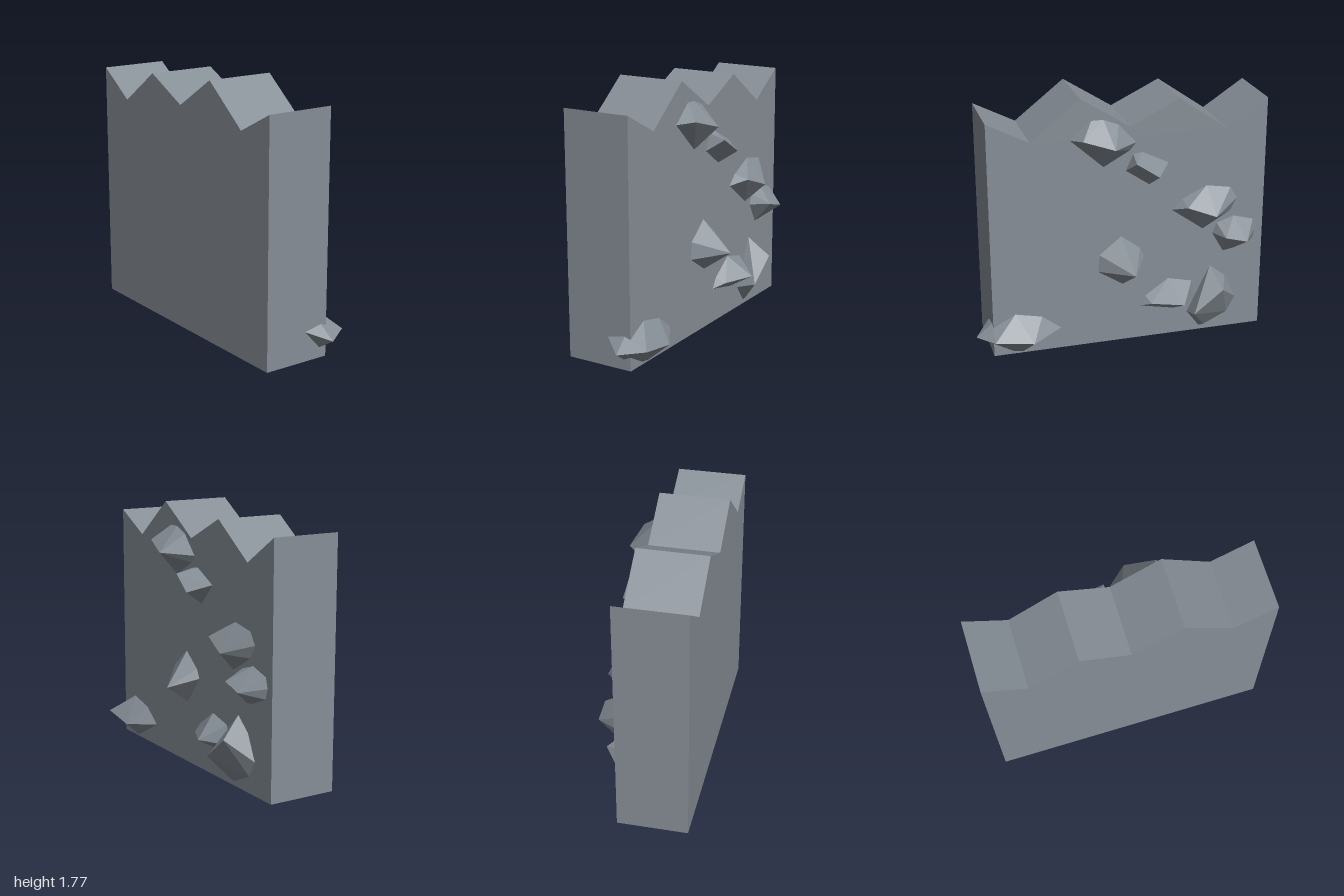
import * as THREE from 'three';
import { ConvexGeometry } from 'three/addons/geometries/ConvexGeometry.js';

const BACK = -0.142; // plane of the wall's rear face
const FRONT = 0.326;

const stone = new THREE.MeshStandardMaterial({ color: 0x868e96, flatShading: true });
stone.name = 'grey stone';

// Faceted rock: outline where it meets the wall, outer peaks, and a buried root
function embeddedRock(outline, peaks) {
  const points = outline.map(([x, y]) => new THREE.Vector3(x, y, BACK));
  const root = new THREE.Vector3();
  points.forEach((p) => root.add(p));
  root.divideScalar(points.length).setZ(BACK + 0.12);
  peaks.forEach((p) => points.push(new THREE.Vector3(...p)));
  points.push(root);
  return new ConvexGeometry(points);
}

export function createModel() {
  const group = new THREE.Group();
  const add = (geometry, name) => {
    const mesh = new THREE.Mesh(geometry, stone);
    mesh.name = name;
    group.add(mesh);
    return mesh;
  };

  // Wall slab with a jagged top
  const profile = [
    [-1, 0.03], [0.88, 0.03], [0.88, 1.655], [0.6, 1.51], [0.27, 1.77],
    [-0.06, 1.56], [-0.39, 1.72], [-0.72, 1.49], [-1, 1.675],
  ];
  const shape = new THREE.Shape(profile.map(([x, y]) => new THREE.Vector2(x, y)));
  const slab = new THREE.ExtrudeGeometry(shape, { depth: FRONT - BACK, bevelEnabled: false });
  slab.translate(0, 0, BACK);
  add(slab, 'wallSlab');

  // Rocks bulging from the rear face
  const rocks = {
    topRock: [
      [[0.34, 1.5], [0.2, 1.62], [0.12, 1.62], [0.02, 1.58], [-0.1, 1.45], [-0.06, 1.4], [0.12, 1.3]],
      [[0.08, 1.46, -0.3], [0.28, 1.52, -0.25]],
    ],
    upperRock: [
      [[-0.03, 1.26], [-0.08, 1.37], [-0.14, 1.38], [-0.32, 1.29], [-0.19, 1.15]],
      [[-0.07, 1.34, -0.26], [-0.22, 1.24, -0.275]],
    ],
    middleRock: [
      [[-0.35, 0.95], [-0.42, 1.02], [-0.59, 1.1], [-0.76, 1.07], [-0.81, 0.99], [-0.76, 0.9], [-0.57, 0.79]],
      [[-0.62, 0.92, -0.275], [-0.43, 0.99, -0.24]],
    ],
    edgeRock: [
      [[-0.64, 0.75], [-0.67, 0.82], [-0.79, 0.86], [-0.93, 0.82], [-0.95, 0.75], [-0.93, 0.68], [-0.79, 0.62], [-0.72, 0.61]],
      [[-0.69, 0.76, -0.28], [-0.84, 0.72, -0.285]],
    ],
    centreRock: [
      [[0.15, 0.68], [0.16, 0.56], [0, 0.8], [-0.13, 0.7], [-0.16, 0.64], [-0.01, 0.45]],
      [[-0.05, 0.58, -0.325]],
    ],
    lowRock: [
      [[-0.13, 0.27], [-0.17, 0.34], [-0.33, 0.45], [-0.5, 0.41], [-0.52, 0.28], [-0.37, 0.22]],
      [[-0.4, 0.31, -0.3], [-0.2, 0.3, -0.2]],
    ],
    blockRock: [
      [[-0.47, 0.18], [-0.63, 0.51], [-0.74, 0.42], [-0.82, 0.25], [-0.76, 0.14], [-0.56, 0.06]],
      [[-0.68, 0.38, -0.285], [-0.48, 0.22, -0.28], [-0.63, 0.015, -0.1]],
    ],
    // Rock wrapping around the lower left corner
    cornerRock: [
      [[0.42, 0.18], [0.55, 0.28], [0.73, 0.32]],
      [
        [0.63, 0.15, -0.27], [0.89, 0.19, -0.27], [0.99, 0.17, -0.11], [0.88, 0.255, -0.1],
        [0.87, 0.235, 0.04], [0.7, 0.002, -0.1], [0.88, 0.1, -0.09],
      ],
    ],
  };
  for (const [name, [outline, peaks]] of Object.entries(rocks)) add(embeddedRock(outline, peaks), name);

  return group;
}
